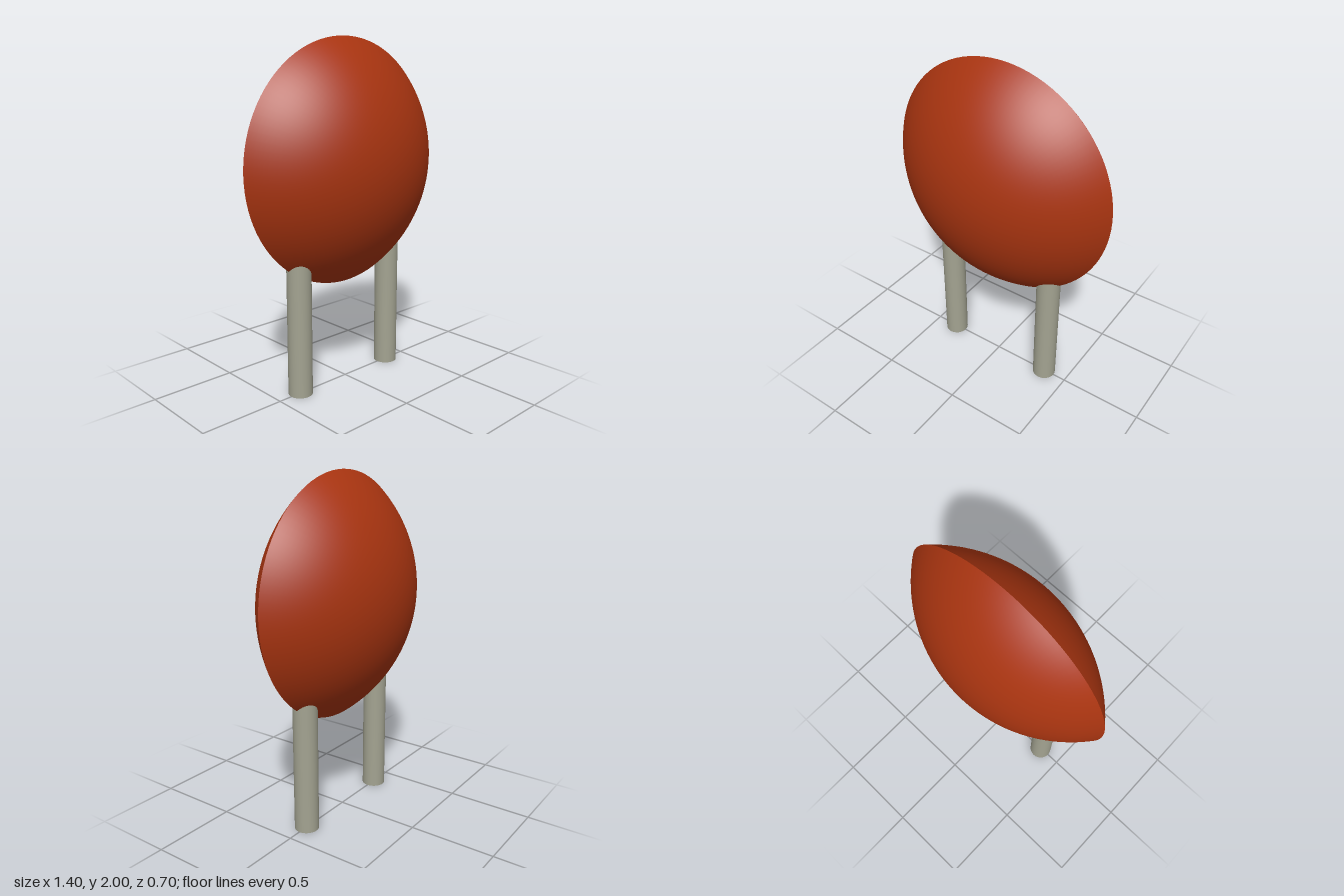
import * as THREE from 'three';

export function createModel() {
  const model = new THREE.Group();
  const rust = new THREE.MeshStandardMaterial({ name: 'rust red', color: 0xa83410 });
  const stone = new THREE.MeshStandardMaterial({ name: 'warm grey', color: 0xa3a391 });

  // Lens body: two shallow spherical caps meeting at a sharp rim
  const rim = 0.7, depth = 0.35;
  const radius = (rim * rim + depth * depth) / (2 * depth);
  const rimAngle = Math.asin(rim / radius);
  const steps = 32;
  const profile = [];
  for (let i = 0; i <= steps; i++) {
    const a = rimAngle * (1 - i / steps);
    profile.push(new THREE.Vector2(radius * Math.sin(a), radius * Math.cos(a) - (radius - depth)));
  }
  const capGeometry = new THREE.LatheGeometry(profile, 96);

  const lens = new THREE.Group();
  lens.name = 'lensBody';
  lens.position.y = 1.3;
  for (const side of [1, -1]) {
    const cap = new THREE.Mesh(capGeometry, rust);
    cap.name = side > 0 ? 'frontCap' : 'backCap';
    cap.rotation.x = side * Math.PI / 2;
    lens.add(cap);
  }
  model.add(lens);

  // Round posts, with their tops buried in the lens
  const postHeight = 0.85;
  const postGeometry = new THREE.CylinderGeometry(0.07, 0.07, postHeight, 48);
  for (const side of [1, -1]) {
    const post = new THREE.Mesh(postGeometry, stone);
    post.name = side > 0 ? 'leftPost' : 'rightPost';
    post.position.set(side * 0.35, postHeight / 2, 0);
    model.add(post);
  }

  return model;
}
